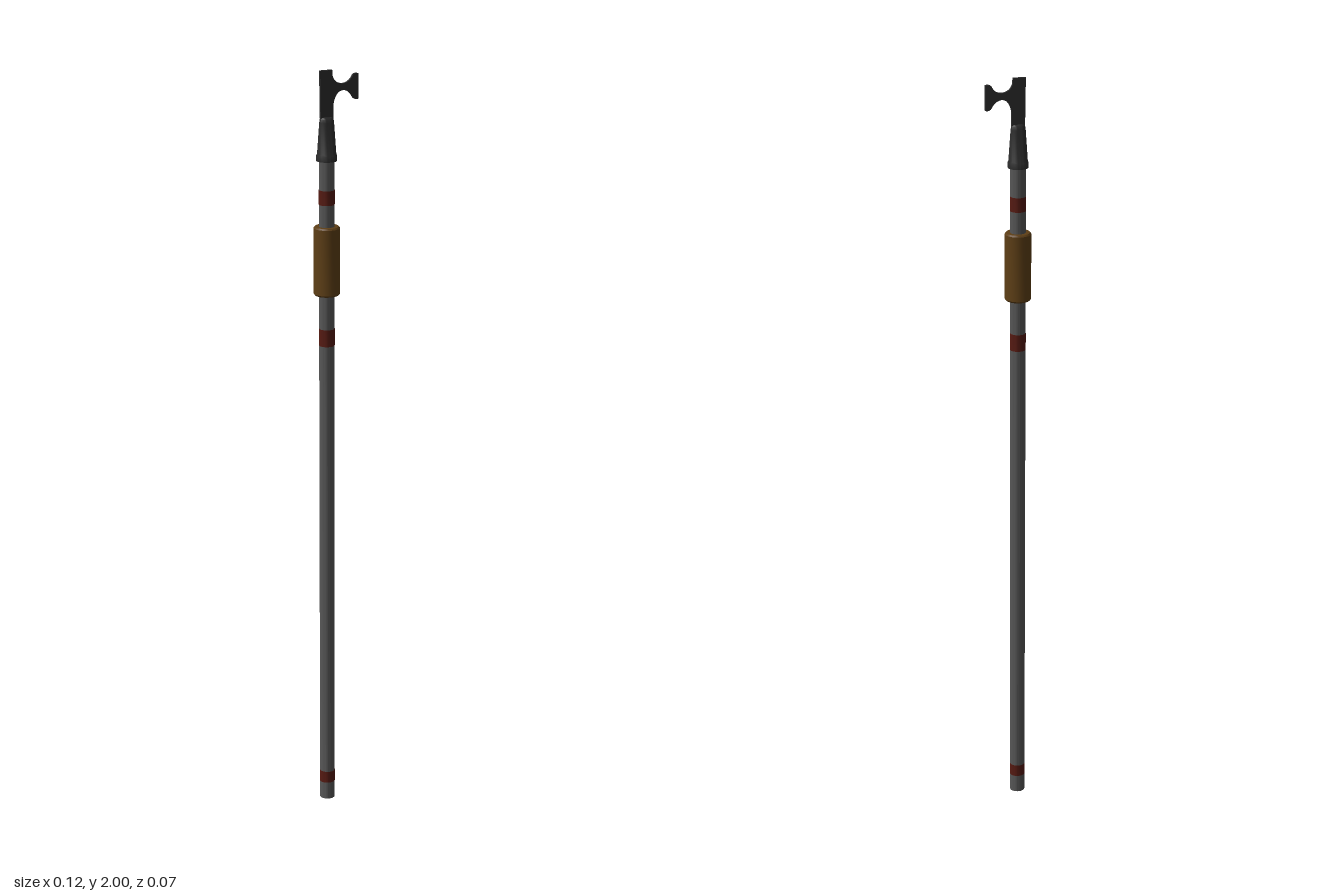
import * as THREE from 'three';
import { toCreasedNormals } from 'three/addons/utils/BufferGeometryUtils.js';

const AXIS = -0.027; // x of the pole's centre line

export function createModel() {
  const model = new THREE.Group();
  const mat = (color) => new THREE.MeshStandardMaterial({ color });
  const grey = mat(0x565656), red = mat(0x551a12), brown = mat(0x5e3f16), black = mat(0x2c2c2c);

  const add = (name, geometry, material, x = AXIS) => {
    const mesh = new THREE.Mesh(toCreasedNormals(geometry, 0.6), material);
    mesh.name = name;
    mesh.position.x = x;
    model.add(mesh);
    return mesh;
  };
  const lathe = (profile) =>
    new THREE.LatheGeometry(profile.map(([r, y]) => new THREE.Vector2(r, y)), 20);

  // Long shaft
  add('pole', lathe([[0, 0], [0.02, 0], [0.02, 1.79], [0, 1.79]]), grey);

  // Painted bands, closed onto the shaft at both ends
  for (const [name, y0, y1] of [['lowerBand', 0.048, 0.08], ['middleBand', 1.285, 1.33], ['upperBand', 1.657, 1.695]]) {
    add(name, lathe([[0.019, y0], [0.0205, y0], [0.0205, y1], [0.019, y1]]), red);
  }

  // Thick grip sleeve with slightly eased rims
  add('gripSleeve', lathe([
    [0.019, 1.42], [0.031, 1.42], [0.034, 1.424],
    [0.034, 1.596], [0.031, 1.60], [0.019, 1.60],
  ]), brown);

  // Socket: round at the pole, flattening in z towards the blade
  const socket = lathe([
    [0.019, 1.77], [0.0265, 1.77], [0.0265, 1.784], [0.0245, 1.788],
    [0.0195, 1.868], [0.018, 1.877], [0.014, 1.881], [0, 1.881],
  ]);
  const p = socket.attributes.position;
  for (let i = 0; i < p.count; i++) {
    const t = THREE.MathUtils.clamp((p.getY(i) - 1.788) / 0.09, 0, 1);
    p.setZ(i, p.getZ(i) * (1 - 0.33 * t));
  }
  add('socket', socket, black);

  // Flat blade with a side arm flaring into a T-shaped hook
  const s = new THREE.Shape();
  s.moveTo(-0.044, 1.86);
  s.lineTo(-0.046, 2.0);
  s.lineTo(-0.013, 2.0);
  s.lineTo(-0.012, 1.985);
  s.quadraticCurveTo(-0.006, 1.965, 0.016, 1.964);
  s.quadraticCurveTo(0.034, 1.964, 0.044, 1.984);
  s.quadraticCurveTo(0.05, 1.989, 0.059, 1.986);
  s.lineTo(0.059, 1.922);
  s.quadraticCurveTo(0.05, 1.919, 0.044, 1.926);
  s.quadraticCurveTo(0.034, 1.946, 0.016, 1.947);
  s.quadraticCurveTo(-0.006, 1.944, -0.01, 1.91);
  s.lineTo(-0.01, 1.86);
  s.closePath();
  const blade = new THREE.ExtrudeGeometry(s, { depth: 0.007, bevelEnabled: false, curveSegments: 8 });
  blade.translate(0, 0, -0.0035);
  add('bladeAndHook', blade, black, 0);

  return model;
}
